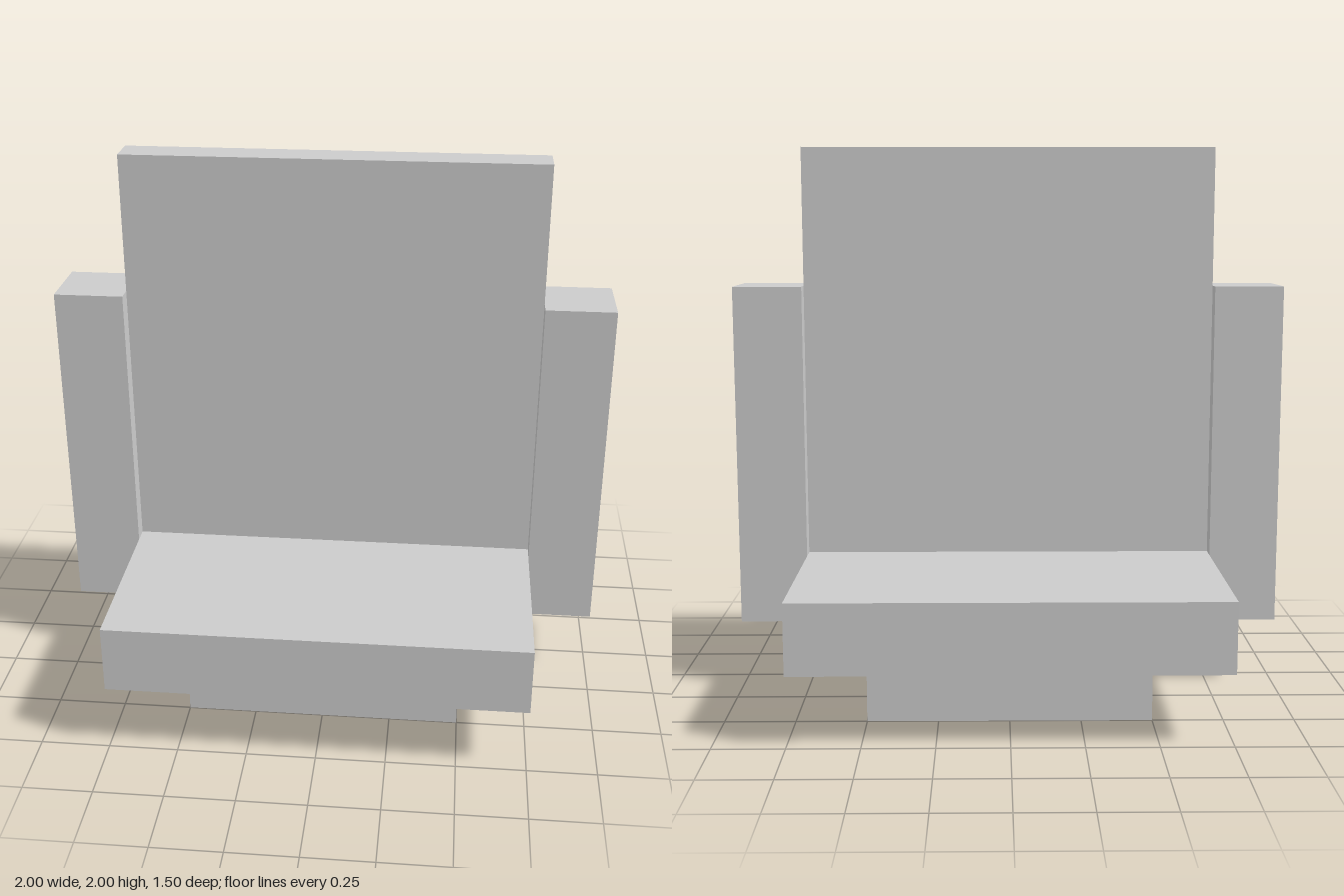
import * as THREE from 'three';

const material = new THREE.MeshStandardMaterial({ color: 0xcccccc, flatShading: true });

// Box given by its size, resting at height y
function block(name, width, height, depth, x, y) {
  const mesh = new THREE.Mesh(new THREE.BoxGeometry(width, height, depth), material);
  mesh.name = name;
  mesh.position.set(x, y + height / 2, 0);
  return mesh;
}

export function createModel() {
  const model = new THREE.Group();
  model.name = 'model';

  // Stepped foot: small base under a wider slab
  model.add(block('base', 1, 0.25, 1, 0, 0));
  model.add(block('slab', 1.5, 0.25, 1.5, 0, 0.25));

  // Thin upright panel across the middle
  model.add(block('panel', 1.5, 1.5, 0.125, 0, 0.5));

  // Side posts flanking the panel
  for (const [name, side] of [['leftPost', 1], ['rightPost', -1]]) {
    model.add(block(name, 0.25, 1.25, 0.25, side * 0.875, 0.25));
  }

  return model;
}
